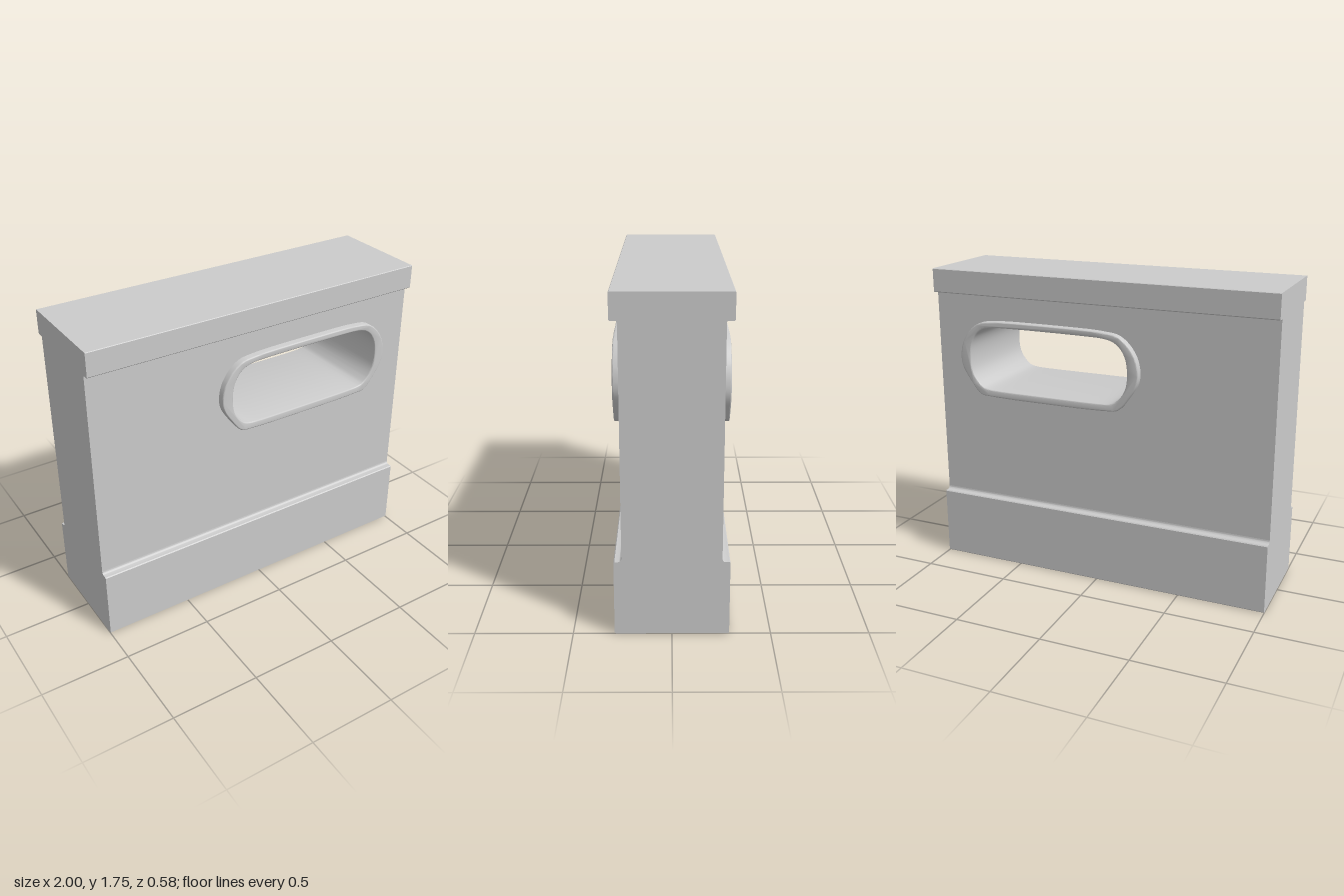
import * as THREE from 'three';
import { toCreasedNormals } from 'three/addons/utils/BufferGeometryUtils.js';

const WIDTH = 2, OUTER = 0.29, WALL = 0.25;
const SLOT_X = 0.295;

// Closed outline mirrored left to right, from one half running bottom to top
function outline(half, Type) {
  const right = half.map(([x, y]) => new THREE.Vector2(SLOT_X + x, y));
  const left = half.map(([x, y]) => new THREE.Vector2(SLOT_X - x, y)).reverse();
  const points = new THREE.SplineCurve([...right, ...left]).getPoints(96);
  return new Type(points);
}

const slotHalf = [
  [0.2, 1.071], [0.37, 1.076], [0.43, 1.105], [0.472, 1.17],
  [0.483, 1.255], [0.47, 1.34], [0.43, 1.402], [0.36, 1.434], [0.2, 1.441],
];
const rimHalf = [
  [0.2, 1.029], [0.36, 1.034], [0.43, 1.045], [0.485, 1.11], [0.535, 1.19],
  [0.547, 1.26], [0.53, 1.34], [0.485, 1.41], [0.425, 1.455], [0.35, 1.469], [0.2, 1.476],
];
// Wall opening lies hidden inside the sleeve
const seatHalf = rimHalf.map(([x, y]) => [x * 0.98, 1.255 + (y - 1.255) * 0.94]);

export function createModel() {
  const model = new THREE.Group();
  const material = new THREE.MeshStandardMaterial({ color: 0xcccccc });

  function add(name, geometry) {
    const mesh = new THREE.Mesh(toCreasedNormals(geometry, 0.6), material);
    mesh.name = name;
    model.add(mesh);
  }

  // Band running the full width, with small coves where it meets the wall
  function band(name, yFar, yLedge, dir, cove, edge) {
    const s = new THREE.Shape();
    s.moveTo(-OUTER + edge, yFar);
    s.lineTo(OUTER - edge, yFar);
    s.lineTo(OUTER, yFar + dir * edge);
    s.lineTo(OUTER, yLedge - dir * 0.005);
    s.lineTo(OUTER - 0.005, yLedge);
    s.lineTo(WALL + cove, yLedge);
    s.quadraticCurveTo(WALL, yLedge, WALL, yLedge + dir * cove);
    s.lineTo(-WALL, yLedge + dir * cove);
    s.quadraticCurveTo(-WALL, yLedge, -WALL - cove, yLedge);
    s.lineTo(-OUTER + 0.005, yLedge);
    s.lineTo(-OUTER, yLedge - dir * 0.005);
    s.lineTo(-OUTER, yFar + dir * edge);
    s.closePath();
    const g = new THREE.ExtrudeGeometry(s, { depth: WIDTH, bevelEnabled: false, curveSegments: 6 });
    g.translate(0, 0, -WIDTH / 2).rotateY(Math.PI / 2);
    add(name, g);
  }
  band('base', 0, 0.4, 1, 0.018, 0.006);
  band('cap', 1.75, 1.615, -1, 0.008, 0.003);

  // Wall panel with the slot opening
  const wall = new THREE.Shape([[-1, 0.418], [1, 0.418], [1, 1.607], [-1, 1.607]]
    .map(([x, y]) => new THREE.Vector2(x, y)));
  wall.holes.push(outline(seatHalf, THREE.Path));
  const wallGeometry = new THREE.ExtrudeGeometry(wall, { depth: WALL * 2, bevelEnabled: false });
  add('wall', wallGeometry.translate(0, 0, -WALL));

  // Sleeve lining the slot and standing proud as a rim on both faces
  const rim = outline(rimHalf, THREE.Shape);
  rim.holes.push(outline(slotHalf, THREE.Path));
  const bevel = 0.007;
  const rimGeometry = new THREE.ExtrudeGeometry(rim, {
    depth: (OUTER - bevel) * 2, bevelThickness: bevel, bevelSize: bevel,
    bevelOffset: -bevel, bevelSegments: 3,
  });
  add('slotSleeve', rimGeometry.translate(0, 0, -OUTER + bevel));

  return model;
}
